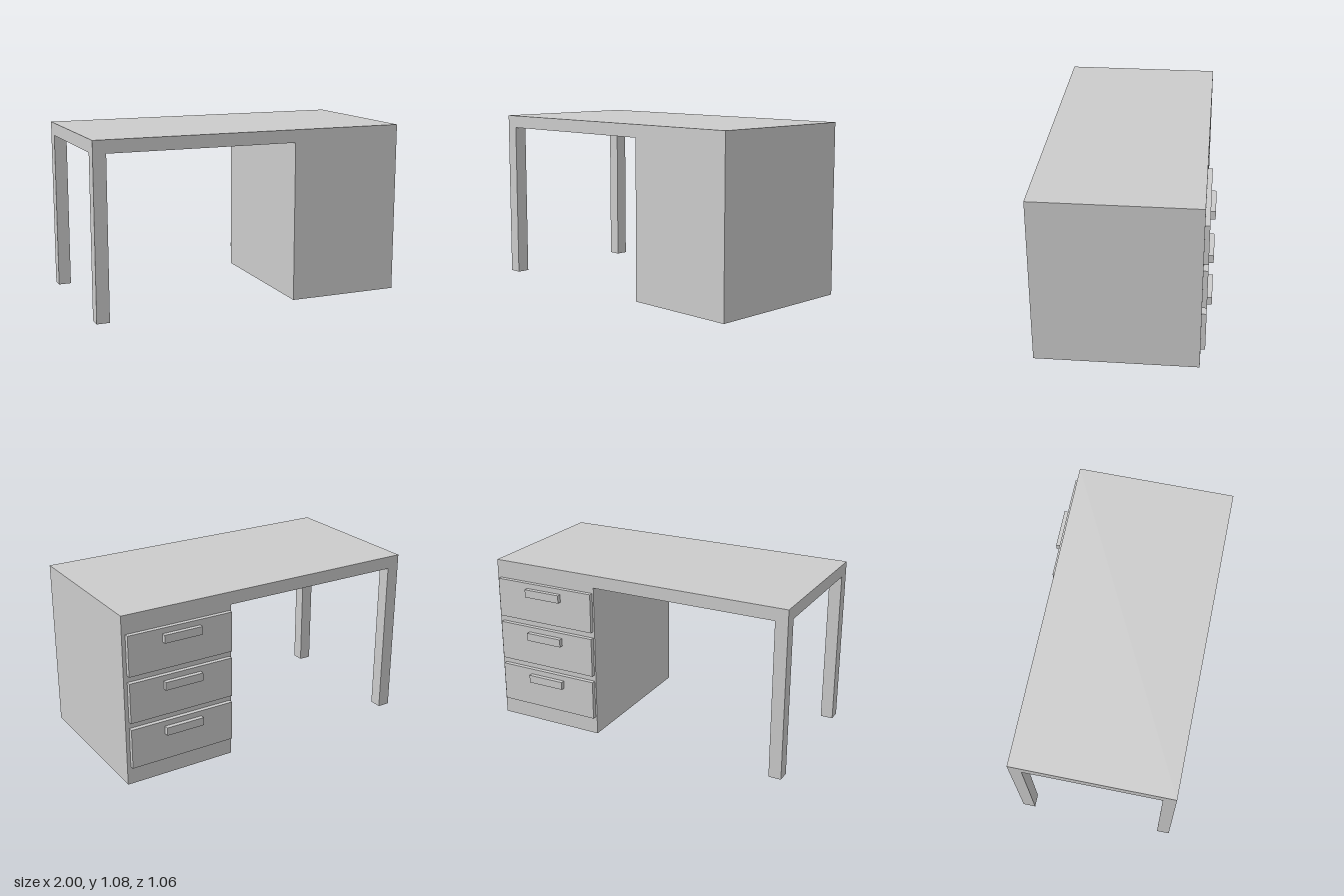
import * as THREE from 'three';

const material = new THREE.MeshStandardMaterial({ color: 0xcccccc, flatShading: true });

// Box given by its minimum and maximum corners
function box(name, [x0, y0, z0], [x1, y1, z1]) {
  const mesh = new THREE.Mesh(new THREE.BoxGeometry(x1 - x0, y1 - y0, z1 - z0), material);
  mesh.name = name;
  mesh.position.set((x0 + x1) / 2, (y0 + y1) / 2, (z0 + z1) / 2);
  return mesh;
}

export function createModel() {
  const desk = new THREE.Group();
  desk.name = 'desk';
  const back = -0.472, front = 0.528, under = 1.0, leg = 0.08;

  // Top slab and the full-depth drawer cabinet
  desk.add(box('desktop', [-1, under, back], [1, 1.08, front]));
  desk.add(box('cabinet', [0.28, 0, back], [1, under, front]));

  // Two square legs at the open end
  desk.add(box('frontLeg', [-1, 0, front - leg], [-1 + leg, under, front]));
  desk.add(box('backLeg', [-1, 0, back], [-1 + leg, under, back + leg]));

  // Three drawer fronts with bar handles, stacked upwards
  for (let i = 0; i < 3; i++) {
    const y = 0.117 + i * 0.2965;
    const drawer = new THREE.Group();
    drawer.name = `drawer${i + 1}`;
    drawer.add(box('drawerFront', [0.29, y, -0.5], [0.977, y + 0.254, back]));
    drawer.add(box('drawerHandle', [0.508, y + 0.169, -0.528], [0.757, y + 0.22, -0.5]));
    desk.add(drawer);
  }
  return desk;
}
